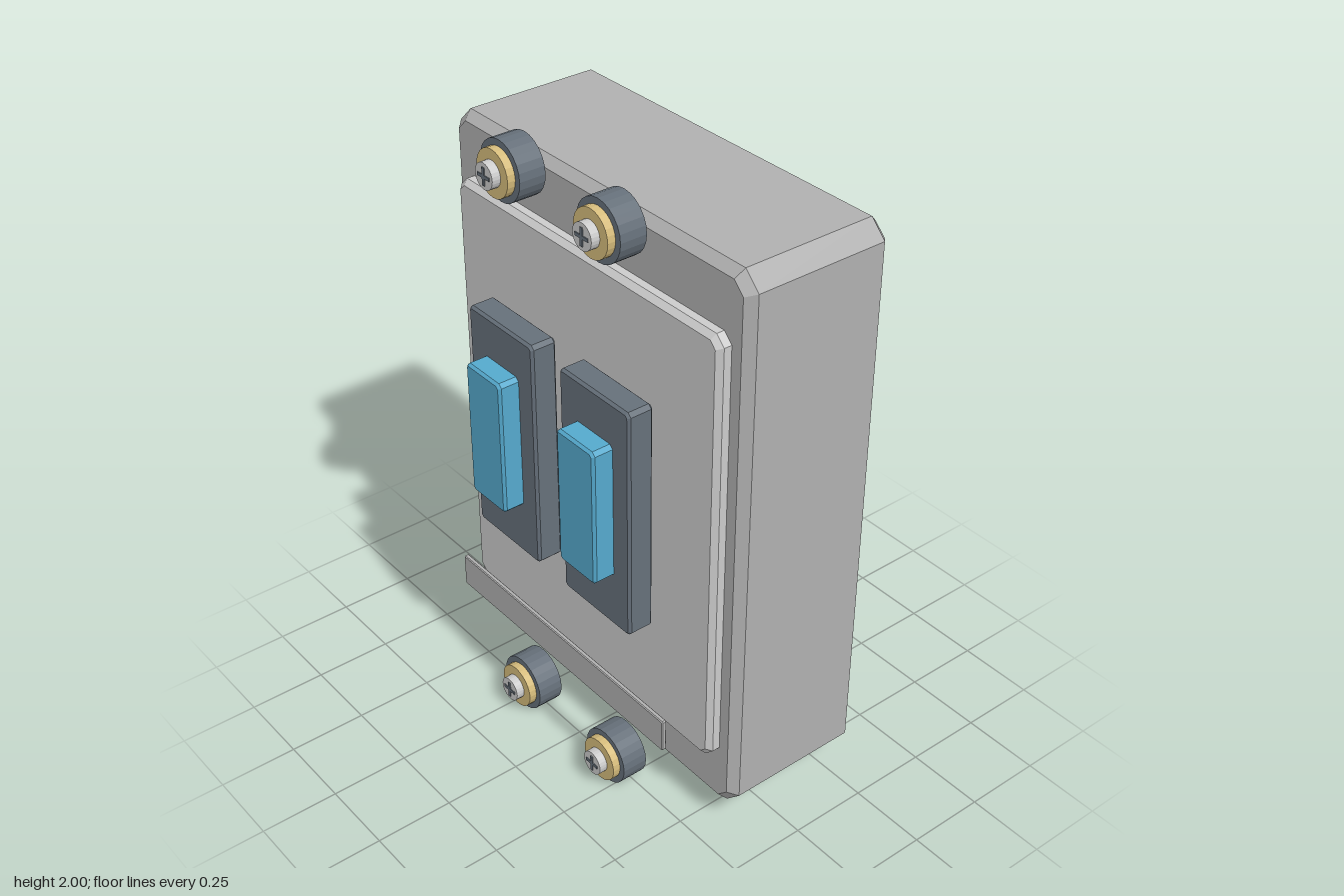
import * as THREE from 'three';

const mat = (color) => new THREE.MeshStandardMaterial({ color, flatShading: true });
const bodyGrey = mat(0xb0b0b0), panelGrey = mat(0xcccccc), dark = mat(0x66707a);
const blue = mat(0x55a9cd), brass = mat(0xd6bc7c);

// Box between two corners, with cut corners in outline and bevelled front and back rims
function bevelBox(name, material, [x0, y0, z0], [x1, y1, z1], corner, bevel) {
  const c = corner;
  const outline = new THREE.Shape([
    [x0 + c, y0], [x1 - c, y0], [x1, y0 + c], [x1, y1 - c],
    [x1 - c, y1], [x0 + c, y1], [x0, y1 - c], [x0, y0 + c],
  ].map(([x, y]) => new THREE.Vector2(x, y)));
  const geometry = new THREE.ExtrudeGeometry(outline, {
    depth: z1 - z0 - 2 * bevel, bevelEnabled: true, bevelSegments: 1,
    bevelSize: bevel, bevelThickness: bevel, bevelOffset: -bevel,
  });
  geometry.translate(0, 0, z0 + bevel);
  const mesh = new THREE.Mesh(geometry, material);
  mesh.name = name;
  return mesh;
}

// Disc facing the front, from z0 to z1
function disc(name, material, radius, z0, z1) {
  const geometry = new THREE.CylinderGeometry(radius, radius, z1 - z0, 24);
  geometry.rotateX(Math.PI / 2).translate(0, 0, (z0 + z1) / 2);
  const mesh = new THREE.Mesh(geometry, material);
  mesh.name = name;
  return mesh;
}

// Terminal: dark collar, brass washer and a cross-slotted screw head
function makeTerminal(x, y) {
  const terminal = new THREE.Group();
  terminal.name = 'terminal';
  terminal.add(
    disc('terminalCollar', dark, 0.092, 0.225, 0.31),
    disc('terminalWasher', brass, 0.072, 0.31, 0.335),
    disc('screwHead', panelGrey, 0.04, 0.335, 0.362),
  );
  for (const [w, h] of [[0.054, 0.01], [0.01, 0.054]]) {
    const slot = new THREE.Mesh(new THREE.BoxGeometry(w, h, 0.006), dark);
    slot.name = 'screwSlot';
    slot.position.z = 0.362;
    terminal.add(slot);
  }
  terminal.position.set(x, y, 0);
  return terminal;
}

export function createModel() {
  const model = new THREE.Group();
  model.name = 'breakerBox';

  // Housing and raised front panel
  model.add(bevelBox('housing', bodyGrey, [-0.645, 0.102, -0.313], [0.642, 1.91, 0.172], 0.052, 0.027));
  model.add(bevelBox('frontPanel', panelGrey, [-0.582, 0.287, 0.15], [0.578, 1.722, 0.213], 0.03, 0.016));

  // Two rocker switches and two pairs of terminals
  for (const x of [-0.218, 0.212]) {
    const rocker = new THREE.Group();
    rocker.name = 'switch';
    rocker.add(
      bevelBox('switchBase', dark, [x - 0.153, 0.68, 0.25], [x + 0.153, 1.437, 0.335], 0.012, 0.008),
      bevelBox('switchToggle', blue, [x - 0.083, 0.855, 0.325], [x + 0.083, 1.303, 0.402], 0.012, 0.008),
    );
    model.add(rocker, makeTerminal(x, 0.095), makeTerminal(x, 1.91));
  }

  // Blank label plate
  model.add(bevelBox('labelPlate', bodyGrey, [-0.502, 0.332, 0.306], [0.498, 0.443, 0.322], 0.004, 0.003));

  // Mounting rail and lower clip on the back
  model.add(bevelBox('mountingRail', dark, [-0.465, 0.87, -0.364], [0.461, 1.138, -0.305], 0.012, 0.008));
  model.add(bevelBox('mountingClip', dark, [-0.271, 0.053, -0.404], [0.267, 0.285, -0.33], 0.01, 0.007));

  return model;
}
